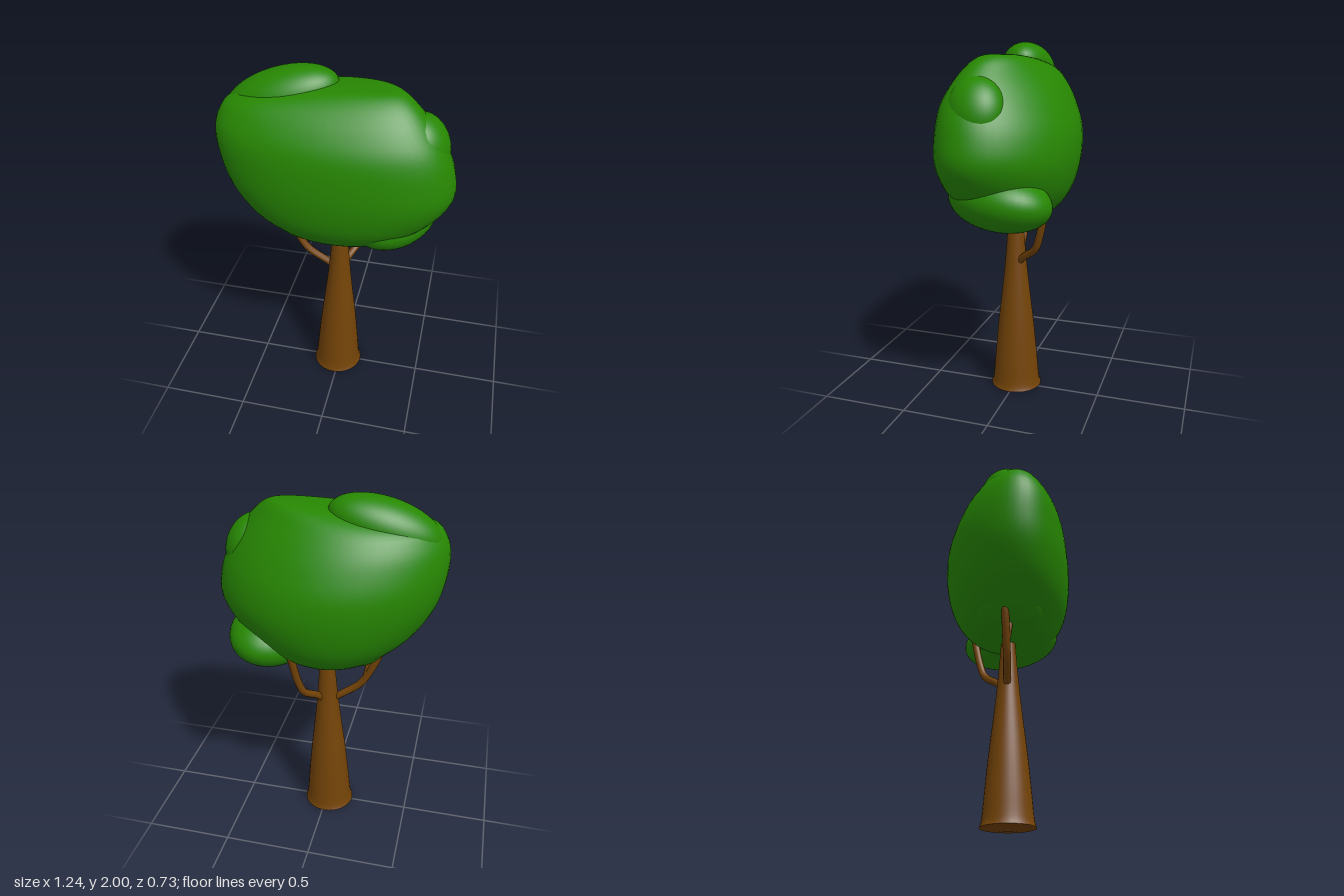
import * as THREE from 'three';
import { mergeVertices } from 'three/addons/utils/BufferGeometryUtils.js';

const bark = new THREE.MeshStandardMaterial({ color: 0x734307 });
bark.name = 'bark brown';
const leaf = new THREE.MeshStandardMaterial({ color: 0x278702 });
leaf.name = 'leaf green';

const V = (x, y, z) => new THREE.Vector3(x, y, z);

function add(parent, name, geometry, material) {
  const mesh = new THREE.Mesh(geometry, material);
  mesh.name = name;
  parent.add(mesh);
  return mesh;
}

// Crown: horizontal oval sections, each row is y, xMin, xMax, zMin, zMax
function crownGeometry() {
  const rows = [
    [1.04, -0.03, -0.03, 0, 0],
    [1.045, -0.16, 0.12, -0.1, 0.11],
    [1.075, -0.26, 0.25, -0.18, 0.19],
    [1.14, -0.36, 0.37, -0.26, 0.265],
    [1.25, -0.48, 0.51, -0.325, 0.33],
    [1.4, -0.573, 0.61, -0.36, 0.36],
    [1.55, -0.615, 0.6, -0.355, 0.36],
    [1.68, -0.625, 0.55, -0.31, 0.34],
    [1.78, -0.6, 0.48, -0.255, 0.29],
    [1.86, -0.52, 0.41, -0.19, 0.225],
    [1.91, -0.25, 0.35, -0.12, 0.16],
    [1.933, 0.03, 0.29, -0.05, 0.1],
    [1.937, 0.18, 0.18, 0.03, 0.03],
  ];
  const low = new THREE.CatmullRomCurve3(rows.map((r) => V(r[1], r[0], r[3])), false, 'catmullrom');
  const high = new THREE.CatmullRomCurve3(rows.map((r) => V(r[2], r[0], r[4])), false, 'catmullrom');
  const g = new THREE.SphereGeometry(1, 56, 48);
  const pos = g.attributes.position;
  const uv = g.attributes.uv;
  for (let i = 0; i < pos.count; i++) {
    const a = uv.getX(i) * Math.PI * 2;
    const lo = low.getPoint(uv.getY(i));
    const hi = high.getPoint(uv.getY(i));
    const rx = (hi.x - lo.x) / 2;
    const rz = (hi.z - lo.z) / 2;
    const c = -Math.cos(a);
    // the two ends of every section swing slightly forward
    const swing = 0.13 * rx * c * c;
    pos.setXYZ(i, (lo.x + hi.x) / 2 + rx * c, lo.y, (lo.z + hi.z) / 2 + rz * Math.sin(a) + swing);
  }
  g.deleteAttribute('uv');
  g.deleteAttribute('normal');
  const merged = mergeVertices(g, 1e-5);
  merged.computeVertexNormals();
  return merged;
}

// Trunk: flared lathe that leans a little towards the base
function trunkGeometry() {
  const profile = new THREE.SplineCurve([
    [0.148, 0.008], [0.136, 0.05], [0.123, 0.2], [0.104, 0.4], [0.081, 0.6],
    [0.06, 0.8], [0.041, 1.05], [0.03, 1.3],
  ].map(([r, y]) => new THREE.Vector2(r, y)));
  const g = new THREE.LatheGeometry(profile.getPoints(28), 32);
  const pos = g.attributes.position;
  for (let i = 0; i < pos.count; i++) {
    pos.setX(i, pos.getX(i) - 0.014 * Math.max(0, 1 - pos.getY(i)));
  }
  return g;
}

function branch(parent, name, points, radius) {
  const curve = new THREE.CatmullRomCurve3(points.map((p) => V(...p)));
  add(parent, name, new THREE.TubeGeometry(curve, 20, radius, 10), bark);
}

export function createModel() {
  const tree = new THREE.Group();
  tree.name = 'tree';

  // Trunk and its slightly domed underside
  add(tree, 'trunk', trunkGeometry(), bark);
  const underside = [[0, 0], [0.06, 0], [0.148, 0.008]].map(([r, y]) => new THREE.Vector2(r, y));
  add(tree, 'trunkBase', new THREE.LatheGeometry(underside, 32), bark).position.x = -0.014;

  // Branches reaching into the crown
  branch(tree, 'forkedBranch', [[0, 0.75, 0], [-0.07, 0.8, 0], [-0.19, 0.89, 0.01], [-0.25, 0.99, 0.01], [-0.3, 1.11, 0.01], [-0.33, 1.25, 0.01]], 0.021);
  branch(tree, 'forkTwig', [[-0.225, 0.95, 0.01], [-0.232, 1.0, 0.02], [-0.222, 1.1, 0.03], [-0.22, 1.2, 0.03]], 0.018);
  branch(tree, 'backBranch', [[0, 0.75, 0], [0.045, 0.82, -0.06], [0.1, 0.89, -0.145], [0.125, 0.97, -0.175], [0.142, 1.08, -0.2], [0.16, 1.2, -0.22]], 0.021);

  // Foliage: main crown with overlapping lobes
  const foliage = new THREE.Group();
  foliage.name = 'foliage';
  tree.add(foliage);
  add(foliage, 'crown', crownGeometry(), leaf);

  const lobes = [
    ['topLobe', [-0.295, 1.84, 0.015], [0.3, 0.14, 0.152], [0, 0.14, 0.3]],
    ['sideLobe', [0.435, 1.675, 0.06], [0.125, 0.17, 0.15], [0.2, 0, 0.4]],
    ['lowerLobe', [0.3, 1.195, -0.01], [0.225, 0.16, 0.295], [-0.04, -0.3, 0.2]],
    ['smallLobe', [-0.23, 1.145, 0.03], [0.155, 0.08, 0.18], [0, 0, -0.55]],
  ];
  for (const [name, position, scale, rotation] of lobes) {
    const lobe = add(foliage, name, new THREE.SphereGeometry(1, 40, 28), leaf);
    lobe.position.set(...position);
    lobe.scale.set(...scale);
    lobe.rotation.set(...rotation);
  }
  return tree;
}
